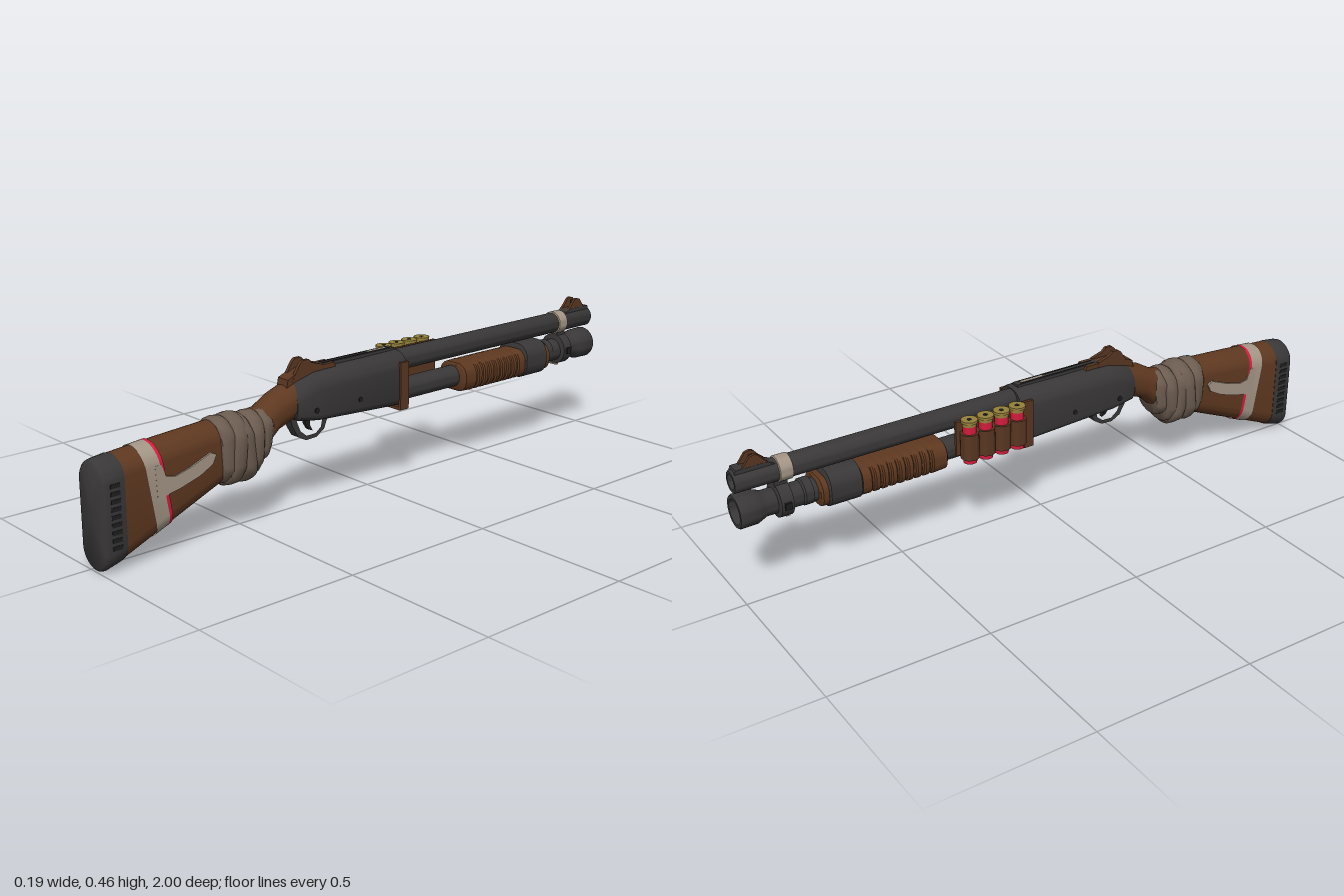
import * as THREE from 'three';
import { toCreasedNormals } from 'three/addons/utils/BufferGeometryUtils.js';

const CX = 0.02; // centre line of the gun
const paint = (name, color, side = THREE.FrontSide) => {
  const m = new THREE.MeshStandardMaterial({ color, side });
  m.name = name;
  return m;
};

export function createModel() {
  const root = new THREE.Group();
  root.name = 'pumpShotgun';
  const metal = paint('gunmetal', 0x393737);
  const black = paint('black', 0x1f1e1e);
  const wood = paint('brownWood', 0x5e3820);
  const leather = paint('brownLeather', 0x593621);
  const cloth = paint('clothWrap', 0x6c5c50);
  const tape = paint('paleTape', 0xa39585, THREE.DoubleSide);
  const red = paint('red', 0xd41c3c, THREE.DoubleSide);
  const brass = paint('brass', 0x94803a);

  const add = (name, geo, mat, x = 0, y = 0, z = 0, crease = 0.6) => {
    const mesh = new THREE.Mesh(toCreasedNormals(geo, crease), mat);
    mesh.name = name;
    mesh.position.set(x, y, z);
    root.add(mesh);
    return mesh;
  };
  const box = (name, mat, w, h, d, x, y, z) => add(name, new THREE.BoxGeometry(w, h, d), mat, x, y, z);

  // Rounded cross-section [z, top, bottom, halfWidth, topRadius, bottomRadius]
  const N = 40;
  const point = ([z, top, bot, hw, rt = 1, rb = rt], j) => {
    const a = ((j + 0.5) / N) * Math.PI * 2, c = Math.cos(a), s = Math.sin(a);
    const h = (top - bot) / 2, r = Math.min(s > 0 ? rt : rb, hw, h);
    return [CX + Math.sign(c) * (hw - r) + r * c, (top + bot) / 2 + Math.sign(s) * (h - r) + r * s, z];
  };
  // Skin over rings of points, ordered from +z to -z
  const skin = (rings, capped = true) => {
    const pos = [];
    const mid = (ring) => [0, 1, 2].map((k) => ring.reduce((t, p) => t + p[k], 0) / N);
    const first = rings[0], last = rings[rings.length - 1];
    for (let j = 0; j < N; j++) {
      const n = (j + 1) % N;
      for (let i = 0; i + 1 < rings.length; i++) {
        const p = rings[i], q = rings[i + 1];
        pos.push(...p[j], ...q[j], ...p[n], ...p[n], ...q[j], ...q[n]);
      }
      if (capped) pos.push(...mid(first), ...first[j], ...first[n], ...mid(last), ...last[n], ...last[j]);
    }
    const g = new THREE.BufferGeometry();
    g.setAttribute('position', new THREE.Float32BufferAttribute(pos, 3));
    return g;
  };
  const ringOf = (sec) => Array.from({ length: N }, (_, j) => point(sec, j));
  const loft = (name, mat, secs, crease) => add(name, skin(secs.map(ringOf)), mat, 0, 0, 0, crease);

  // Turned part along the barrel direction, profile of [radius, z]
  const turn = (name, mat, profile, x, y) => {
    const g = new THREE.LatheGeometry(profile.map(([r, z]) => new THREE.Vector2(r, -z)), 32);
    return add(name, g.rotateX(-Math.PI / 2), mat, x, y);
  };
  // Side profile of [z, y] points with thickness across x
  const plate = (name, mat, pts, x, t, hole) => {
    const s = new THREE.Shape(pts.map((p) => new THREE.Vector2(...p)));
    if (hole) s.holes.push(new THREE.Path(hole.map((p) => new THREE.Vector2(...p))));
    const g = new THREE.ExtrudeGeometry(s, { depth: t, bevelEnabled: false });
    return add(name, g.rotateY(-Math.PI / 2), mat, x + t / 2);
  };

  // Stock and grip
  const stock = [
    [0.935, 0.325, 0.02, 0.06], [0.78, 0.338, 0.085, 0.058], [0.6, 0.35, 0.16, 0.055],
    [0.5, 0.345, 0.185, 0.053], [0.44, 0.355, 0.225, 0.051], [0.39, 0.385, 0.27, 0.052], [0.31, 0.415, 0.3, 0.053],
  ];
  loft('stock', wood, stock, 0.8);
  loft('buttPad', metal, [
    [1, 0.31, 0.012, 0.054], [0.994, 0.317, 0.004, 0.06], [0.985, 0.32, 0.003, 0.063],
    [0.94, 0.326, 0.016, 0.063], [0.93, 0.325, 0.02, 0.061],
  ], 0.8);
  for (let i = 0; i < 9; i++) for (const s of [-1, 1])
    box('padVent', black, 0.004, 0.012, 0.03, CX + s * 0.0625, 0.08 + i * 0.022, 0.962);

  // Tape bands follow the stock surface on a slant
  const stockAt = (z, grow) => {
    let i = 0;
    while (i < stock.length - 2 && stock[i + 1][0] > z) i++;
    const a = stock[i], b = stock[i + 1], t = (a[0] - z) / (a[0] - b[0]);
    const [top, bot, hw] = [1, 2, 3].map((k) => a[k] + (b[k] - a[k]) * t);
    return [z, top + grow, bot - grow, hw + grow];
  };
  const band = (name, mat, z0, z1, grow) => add(name, skin([z0, (z0 + z1) / 2, z1].map((z) =>
    Array.from({ length: N }, (_, j) => {
      const y = point(stockAt(z, grow), j)[1];
      return point(stockAt(z + 0.15 * (y - 0.33), grow), j);
    })), false), mat);
  band('stockTape', tape, 0.872, 0.824, 0.003);
  band('stockTapeEdge', red, 0.826, 0.815, 0.0035);
  for (const s of [-1, 1]) plate('stockTapeArm', tape, [
    [0.83, 0.18], [0.79, 0.192], [0.76, 0.197], [0.69, 0.218], [0.645, 0.242], [0.632, 0.268],
    [0.65, 0.277], [0.72, 0.25], [0.77, 0.237], [0.8, 0.243], [0.815, 0.28], [0.835, 0.28],
  ], CX + s * 0.058, 0.008);

  // Cloth wound round the wrist, in overlapping slanted folds
  const folds = [
    [0.585, 0.357, 0.158, 0.07, 0.05], [0.553, 0.36, 0.147, 0.075, -0.1], [0.52, 0.356, 0.146, 0.073, 0.12],
    [0.487, 0.353, 0.16, 0.068, -0.08], [0.455, 0.354, 0.192, 0.061, -0.15],
  ];
  for (const [z, top, bot, hw, slant] of folds) {
    const rings = [[0.024, 0.008], [0.017, 0.002], [0, 0], [-0.017, 0.002], [-0.026, 0.01]].map(([dz, inset], k) =>
      ringOf([z + dz, top - inset, bot + inset, hw - inset]).map(([x, y, zz], j) =>
        [x + 0.0015 * Math.sin(j * 1.1 + k + z * 90), y, zz + slant * (y - 0.25)]));
    add('clothFold', skin(rings), cloth, 0, 0, 0, 0.9);
  }

  // Receiver
  loft('receiver', metal, [
    [0.335, 0.395, 0.305, 0.054, 0.05, 0.02], [0.325, 0.408, 0.295, 0.06, 0.055, 0.02],
    [0.25, 0.428, 0.283, 0.062, 0.055, 0.02], [-0.085, 0.434, 0.262, 0.062, 0.055, 0.03],
    [-0.095, 0.43, 0.266, 0.058, 0.05, 0.03],
  ]);
  box('topRail', metal, 0.026, 0.01, 0.3, CX, 0.436, 0.07);
  for (const s of [-1, 1]) box('railGroove', black, 0.004, 0.004, 0.27, CX + s * 0.008, 0.4405, 0.07);
  box('railWearMark', tape, 0.01, 0.003, 0.08, CX, 0.441, -0.02);
  for (const z of [0.27, 0.1]) {
    const pin = add('receiverPin', new THREE.CylinderGeometry(0.008, 0.008, 0.13, 12), black, CX, 0.32, z);
    pin.rotation.z = Math.PI / 2;
  }

  // Trigger and guard
  plate('triggerGuard', metal, [
    [0.335, 0.305], [0.325, 0.27], [0.305, 0.235], [0.275, 0.219], [0.235, 0.221], [0.205, 0.24], [0.185, 0.29],
  ], CX, 0.032, [[0.31, 0.285], [0.295, 0.25], [0.272, 0.232], [0.238, 0.233], [0.218, 0.248], [0.208, 0.285]]);
  plate('trigger', black, [[0.27, 0.29], [0.25, 0.29], [0.252, 0.26], [0.242, 0.24], [0.256, 0.246], [0.268, 0.265]], CX, 0.014);

  // Rear sight: base with two wings
  plate('rearSightBase', leather, [[0.35, 0.395], [0.345, 0.418], [0.29, 0.44], [0.17, 0.441], [0.16, 0.42]], CX, 0.046);
  for (const s of [-1, 1]) plate('rearSightWing', leather, [
    [0.33, 0.41], [0.315, 0.435], [0.298, 0.46], [0.288, 0.467], [0.267, 0.467], [0.255, 0.455], [0.215, 0.443], [0.21, 0.42],
  ], CX + s * 0.018, 0.011);

  // Barrel and magazine tube
  turn('barrel', metal, [[0, -0.05], [0.034, -0.05], [0.034, -0.995], [0.031, -1], [0.023, -1], [0.022, -0.9], [0, -0.9]], 0.018, 0.394);
  turn('magazineTube', metal, [[0, -0.05], [0.035, -0.05], [0.035, -0.85], [0, -0.85]], 0.018, 0.296);
  turn('barrelTape', tape, [[0.034, -0.828], [0.038, -0.83], [0.038, -0.868], [0.034, -0.87]], 0.018, 0.394);
  box('barrelClamp', metal, 0.03, 0.05, 0.04, 0.018, 0.347, -0.862);

  // Front sight
  plate('frontSightRamp', metal, [[-0.87, 0.42], [-0.9, 0.434], [-0.99, 0.434], [-0.995, 0.42]], 0.018, 0.04);
  for (const s of [-1, 1]) plate('frontSightWing', leather, [
    [-0.885, 0.425], [-0.905, 0.443], [-0.922, 0.463], [-0.932, 0.467], [-0.948, 0.463], [-0.965, 0.44], [-0.975, 0.425],
  ], 0.018 + s * 0.015, 0.009);
  box('frontSightPost', metal, 0.007, 0.03, 0.012, 0.018, 0.444, -0.935);

  // Pump with grip ribs
  const ribs = [[-0.35, 0.335, 0.256, 0.052, 0.036], [-0.355, 0.341, 0.249, 0.059, 0.038], [-0.395, 0.342, 0.247, 0.06, 0.038]];
  for (let i = 0; i < 8; i++) {
    const z = -0.4 - i * 0.027;
    for (const [dz, d] of [[0, 0], [0.004, 0.005], [0.011, 0.005], [0.015, 0]])
      ribs.push([z - dz, 0.342, 0.247 + d / 2, 0.06 - d, 0.038]);
  }
  ribs.push([-0.755, 0.341, 0.25, 0.058, 0.038], [-0.76, 0.335, 0.256, 0.052, 0.036]);
  loft('pumpGrip', wood, ribs);
  loft('pumpWrap', metal, [
    [-0.632, 0.345, 0.248, 0.06, 0.04], [-0.637, 0.358, 0.243, 0.064, 0.045],
    [-0.733, 0.358, 0.243, 0.064, 0.045], [-0.738, 0.345, 0.248, 0.06, 0.04],
  ]);

  // Flashlight on the end of the tube
  turn('flashlight', metal, [
    [0, -0.775], [0.04, -0.775], [0.04, -0.8], [0.035, -0.805], [0.035, -0.84], [0.052, -0.843], [0.052, -0.88],
    [0.038, -0.884], [0.038, -0.915], [0.044, -0.93], [0.05, -0.945], [0.051, -0.995], [0.048, -1], [0.038, -1], [0.036, -0.965], [0, -0.965],
  ], 0.016, 0.3);
  turn('flashlightLens', black, [[0, -0.966], [0.036, -0.966], [0.034, -0.969], [0, -0.969]], 0.016, 0.3);
  for (const s of [-1, 1]) box('clampScrew', black, 0.012, 0.02, 0.02, 0.016 + s * 0.052, 0.3, -0.862);
  box('clampWearMark', tape, 0.03, 0.004, 0.012, 0.016, 0.247, -0.85);

  // Leather strap under the receiver carrying the shell holder
  box('strapSide', leather, 0.01, 0.15, 0.034, 0.083, 0.33, -0.076);
  box('strapBottom', leather, 0.13, 0.01, 0.034, CX, 0.258, -0.076);
  box('strapInnerSide', leather, 0.01, 0.15, 0.034, -0.044, 0.33, -0.076);
  box('holderBack', leather, 0.01, 0.11, 0.27, -0.045, 0.355, -0.195);

  // Four shells in leather loops
  for (let i = 0; i < 4; i++) {
    const z = -0.13 - i * 0.055, x = -0.068;
    const tube = (name, mat, r, y0, y1) =>
      add(name, new THREE.CylinderGeometry(r, r, y1 - y0, 24), mat, x, (y0 + y1) / 2, z);
    tube('shellLoop', leather, 0.028, 0.296, 0.378);
    tube('shellCase', red, 0.0205, 0.281, 0.405);
    tube('shellBase', brass, 0.0215, 0.402, 0.412);
    tube('shellRim', brass, 0.025, 0.412, 0.42);
    tube('shellPrimer', black, 0.007, 0.419, 0.421);
  }
  return root;
}
